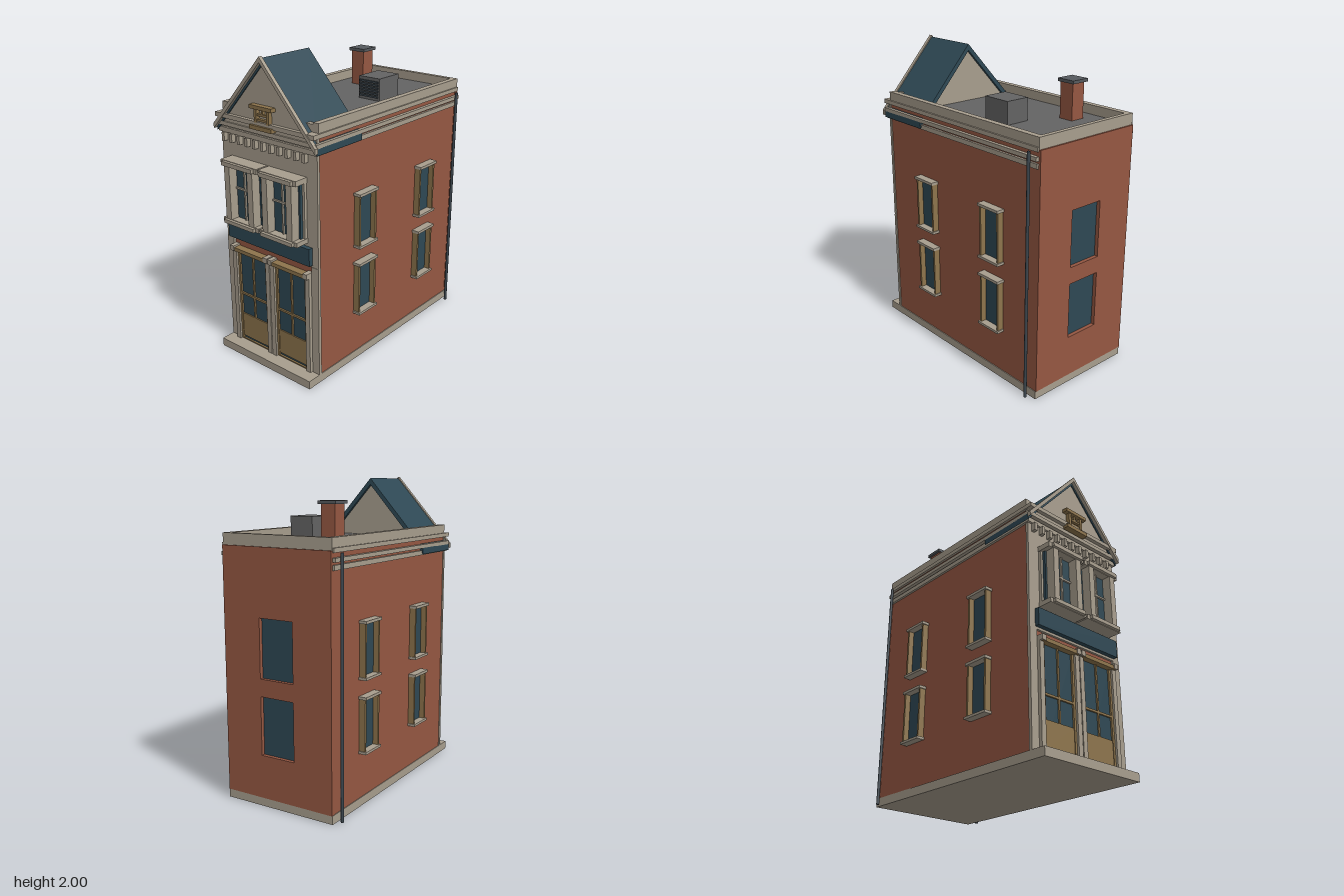
import * as THREE from 'three';

const mat = (name, color) => {
  const m = new THREE.MeshStandardMaterial({ color });
  m.name = name;
  return m;
};

export function createModel() {
  const stone = mat('stone', 0xa79d8d);
  const brick = mat('brick', 0x955742);
  const teal = mat('darkTeal', 0x2e4854);
  const gold = mat('ochreWood', 0x8d744c);
  const grey = mat('roofGrey', 0x636363);
  const iron = mat('iron', 0x3c464e);

  const root = new THREE.Group();
  root.name = 'shopHouse';
  const group = (name, parent = root) => {
    const g = new THREE.Group();
    g.name = name;
    parent.add(g);
    return g;
  };
  const add = (name, geo, material, parent = root) => {
    const m = new THREE.Mesh(geo, material);
    m.name = name;
    parent.add(m);
    return m;
  };
  // Box given by its extents
  const box = (name, material, x0, x1, y0, y1, z0, z1, parent) => {
    const m = add(name, new THREE.BoxGeometry(x1 - x0, y1 - y0, z1 - z0), material, parent);
    m.position.set((x0 + x1) / 2, (y0 + y1) / 2, (z0 + z1) / 2);
    return m;
  };
  // Outline pulled along z
  const slab = (name, material, shape, z0, z1, parent) => {
    const geo = new THREE.ExtrudeGeometry(shape, { depth: z1 - z0, bevelEnabled: false });
    add(name, geo, material, parent).position.z = z0;
  };
  const poly = (pts) => new THREE.Shape(pts.map(([x, y]) => new THREE.Vector2(x, y)));

  // Base and brick body
  box('base', stone, -0.39, 0.39, 0, 0.055, -0.78, 0.765);
  box('brickBody', brick, -0.385, 0.385, 0.055, 1.6, -0.755, 0.655);
  box('flatRoof', grey, -0.37, 0.37, 1.6, 1.612, -0.75, 0.65);

  // Back wall with two recessed windows
  const back = poly([[-0.388, 0.055], [0.388, 0.055], [0.388, 1.6], [-0.388, 1.6]]);
  for (const y of [0.33, 0.81]) {
    back.holes.push(new THREE.Path([[-0.12, y], [-0.12, y + 0.37], [0.12, y + 0.37], [0.12, y]]
      .map(([px, py]) => new THREE.Vector2(px, py))));
    box('backWindow', teal, -0.12, 0.12, y, y + 0.37, -0.76, -0.754);
  }
  slab('backWall', brick, back, -0.785, -0.755);

  // Parapet
  const parapet = group('parapet');
  for (const s of [-1, 1]) {
    const [a, b] = [0.35 * s, 0.39 * s].sort((p, q) => p - q);
    box('sideParapet', stone, a, b, 1.6, 1.672, -0.775, 0.655, parapet);
  }
  box('backParapet', stone, -0.35, 0.35, 1.6, 1.672, -0.775, -0.745, parapet);
  box('frontParapet', stone, -0.35, 0.35, 1.6, 1.66, 0.62, 0.655, parapet);

  // Cornice bands along both sides and the front
  for (const [y0, y1, x, z] of [[1.49, 1.52, 0.4, 0.685], [1.535, 1.56, 0.408, 0.695], [1.588, 1.615, 0.4, 0.71]]) {
    for (const s of [-1, 1]) {
      const [a, b] = [0.38 * s, x * s].sort((p, q) => p - q);
      box('sideCornice', stone, a, b, y0, y1, -0.77, 0.66);
    }
    box('frontCornice', stone, -x, x, y0, y1, 0.65, z);
  }

  // Stone facade around the shopfront opening
  const facade = group('facade');
  box('upperFacade', stone, -0.39, 0.39, 0.785, 1.6, 0.65, 0.67, facade);
  for (const s of [-1, 1]) {
    const [a, b] = [0.335 * s, 0.39 * s].sort((p, q) => p - q);
    box('cornerPier', stone, a, b, 0.055, 0.785, 0.65, 0.672, facade);
  }
  for (let i = 0; i < 11; i++) {
    const x = -0.35 + i * 0.066;
    box('dentil', stone, x - 0.011, x + 0.011, 1.437, 1.49, 0.665, 0.7, facade);
  }
  box('signBoard', teal, -0.345, 0.345, 0.8, 0.912, 0.66, 0.7, facade);

  // Shop doors, one per side
  for (const s of [-1, 1]) {
    const c = 0.167 * s;
    const door = group('shopDoor');
    const part = (name, m, x0, x1, y0, y1, z1) => box(name, m, c + x0, c + x1, y0, y1, 0.65, z1, door);
    part('doorGlass', teal, -0.128, 0.128, 0.055, 0.71, 0.664);
    part('kickPanel', gold, -0.115, 0.115, 0.08, 0.25, 0.672);
    for (const e of [-1, 1]) part('doorStile', gold, e * 0.122 - 0.008, e * 0.122 + 0.008, 0.055, 0.71, 0.676);
    part('mullion', gold, -0.006, 0.006, 0.25, 0.71, 0.674);
    part('transomBar', gold, -0.12, 0.12, 0.393, 0.407, 0.675);
    part('threshold', gold, -0.12, 0.12, 0.055, 0.063, 0.676);
    for (const e of [-1, 1]) part('doorPilaster', stone, e * 0.147 - 0.017, e * 0.147 + 0.017, 0.055, 0.71, 0.69);
    part('doorHead', gold, -0.15, 0.15, 0.708, 0.733, 0.705);
    for (const e of [-1, 1]) part('headBlock', stone, e * 0.147 - 0.016, e * 0.147 + 0.016, 0.71, 0.745, 0.71);
  }

  // Projecting upper windows, one per side
  for (const s of [-1, 1]) {
    const c = 0.158 * s;
    const bay = group('bayWindow');
    const part = (name, m, x0, x1, y0, y1, z0, z1) => box(name, m, c + x0, c + x1, y0, y1, z0, z1, bay);
    part('bayGlass', teal, -0.132, 0.132, 0.965, 1.31, 0.66, 0.71);
    for (const [y0, y1] of [[0.935, 0.965], [1.312, 1.345]]) {
      part('bayLedge', stone, -0.152, 0.152, y0, y1, 0.66, 0.765);
      part('bayLedgeFront', stone, -0.128, 0.128, y0 + 0.003, y1 - 0.003, 0.765, 0.785);
    }
    for (const e of [-1, 1]) {
      part('bayPost', stone, e * 0.098 - 0.022, e * 0.098 + 0.022, 0.965, 1.312, 0.705, 0.77);
      part('wallPost', stone, e * 0.14 - 0.008, e * 0.14 + 0.008, 0.965, 1.312, 0.66, 0.69);
    }
    part('bayMullion', stone, -0.005, 0.005, 0.965, 1.312, 0.705, 0.722);
    part('bayCrossbar', stone, -0.08, 0.08, 1.158, 1.17, 0.705, 0.722);
  }

  // Side windows and drainpipes on both sides
  for (const s of [-1, 1]) {
    const side = group(s > 0 ? 'leftSide' : 'rightSide');
    const part = (name, m, x1, y0, y1, z0, z1) => {
      const [a, b] = [0.38 * s, x1 * s].sort((p, q) => p - q);
      box(name, m, a, b, y0, y1, z0, z1, side);
    };
    for (const z of [0.247, -0.392]) {
      for (const y of [0.345, 0.808]) {
        part('sideGlass', teal, 0.39, y + 0.015, y + 0.345, z - 0.08, z + 0.08);
        for (const e of [-1, 1]) part('sideJamb', gold, 0.427, y + 0.015, y + 0.345, z + e * 0.078 - 0.007, z + e * 0.078 + 0.007);
        part('sideSill', stone, 0.438, y, y + 0.016, z - 0.092, z + 0.092);
        part('sideLintel', stone, 0.438, y + 0.342, y + 0.36, z - 0.092, z + 0.092);
      }
    }
    const pipe = add('drainpipe', new THREE.CylinderGeometry(0.01, 0.01, 1.585, 10), iron, side);
    pipe.position.set(0.42 * s, 0.795, -0.722);
  }

  // Gable: walls, roof and raking trim
  const gable = group('gable');
  const k = 1.11;
  const chevron = (top, half, t) => poly([[-half, top - k * half], [-half, top - k * half - t], [0, top - t],
    [half, top - k * half - t], [half, top - k * half], [0, top]]);
  slab('gableWall', stone, poly([[-0.38, 1.55], [0.38, 1.55], [0, 1.965]]), 0.315, 0.685, gable);
  slab('gableRoof', teal, chevron(1.99, 0.408, 0.042), 0.295, 0.692, gable);
  slab('rakeTrim', stone, chevron(2, 0.413, 0.033), 0.69, 0.715, gable);

  // Gable ornament
  const ornament = group('gableOrnament', gable);
  for (const [x, y0, y1, z] of [[0.09, 1.692, 1.715, 0.722], [0.055, 1.65, 1.664, 0.705], [0.055, 1.618, 1.632, 0.705], [0.09, 1.57, 1.595, 0.725]])
    box('ornamentBar', gold, -x, x, y0, y1, 0.68, z, ornament);
  for (const x of [-0.05, 0.05]) box('ornamentPost', gold, x - 0.01, x + 0.01, 1.61, 1.7, 0.68, 0.712, ornament);
  box('ornamentCentre', gold, -0.007, 0.007, 1.66, 1.7, 0.68, 0.705, ornament);

  // Chimney
  box('chimney', brick, -0.238, -0.14, 1.6, 1.842, -0.512, -0.41);
  box('chimneyCap', iron, -0.253, -0.127, 1.842, 1.862, -0.527, -0.398).material = mat('capGrey', 0x565a5e);

  // Roof vent unit with louvres facing forward
  box('ventUnit', grey, 0.052, 0.217, 1.61, 1.757, -0.325, -0.125);
  for (let i = 0; i < 6; i++) {
    const y = 1.63 + i * 0.019;
    box('ventLouvre', iron, 0.062, 0.207, y, y + 0.012, -0.13, -0.115);
  }
  return root;
}
